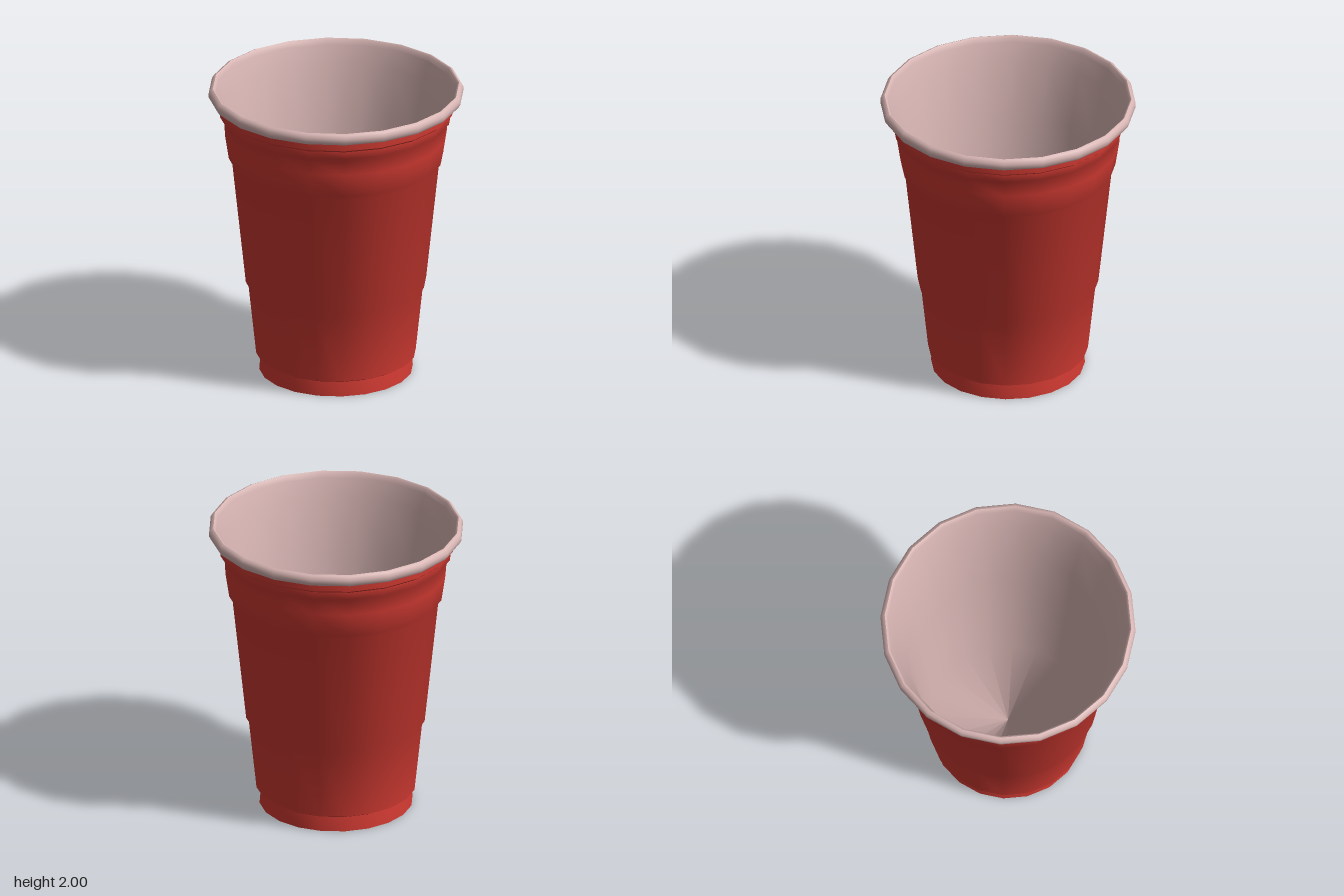
import * as THREE from 'three';
import { toCreasedNormals } from 'three/addons/utils/BufferGeometryUtils.js';

const SIDES = 20;

const red = new THREE.MeshStandardMaterial({ color: 0xd13a32 });
red.name = 'red plastic';
const white = new THREE.MeshStandardMaterial({ color: 0xd6b4b2 });
white.name = 'pale lining';

// Profile points are [radius, height]; rising profiles face outwards
function lathe(profile) {
  return new THREE.LatheGeometry(profile.map(([r, y]) => new THREE.Vector2(r, y)), SIDES);
}

function part(name, geometry, material) {
  const mesh = new THREE.Mesh(geometry, material);
  mesh.name = name;
  return mesh;
}

export function createModel() {
  const cup = new THREE.Group();
  cup.name = 'cup';

  // Stepped outer wall
  const wall = lathe([
    [0.505, 0], [0.497, 0.1], [0.525, 0.115], [0.575, 0.59], [0.593, 0.62],
    [0.683, 1.475], [0.705, 1.505], [0.73, 1.67], [0.735, 1.77], [0.762, 1.8],
    [0.765, 1.85], [0.783, 1.865], [0.785, 1.93],
  ]);
  cup.add(part('outerWall', toCreasedNormals(wall, 0.8), red));

  // Flat underside
  const base = new THREE.CircleGeometry(0.505, SIDES).rotateX(Math.PI / 2);
  cup.add(part('base', base, red));

  // Rolled rim
  const rim = lathe([
    [0.78, 1.925], [0.825, 1.925], [0.838, 1.945], [0.838, 1.97],
    [0.826, 1.992], [0.81, 2], [0.797, 1.99], [0.788, 1.95],
  ]);
  cup.add(part('rim', toCreasedNormals(rim, 0.9), white));

  // Lining and floor, shaded as one continuous hollow
  const profile = [
    [0.79, 1.96], [0.75, 1.84], [0.665, 1.46], [0.625, 1.04],
    [0.565, 0.58], [0.52, 0.12], [0, 0.12],
  ];
  const lining = lathe(profile);
  const normals = lining.attributes.normal;
  const rows = profile.length;
  for (let i = 0; i <= SIDES; i++) {
    const from = i * rows + rows - 3;
    for (const to of [from + 1, from + 2]) {
      normals.setXYZ(to, normals.getX(from), normals.getY(from), normals.getZ(from));
    }
  }
  cup.add(part('lining', lining, white));

  return cup;
}
